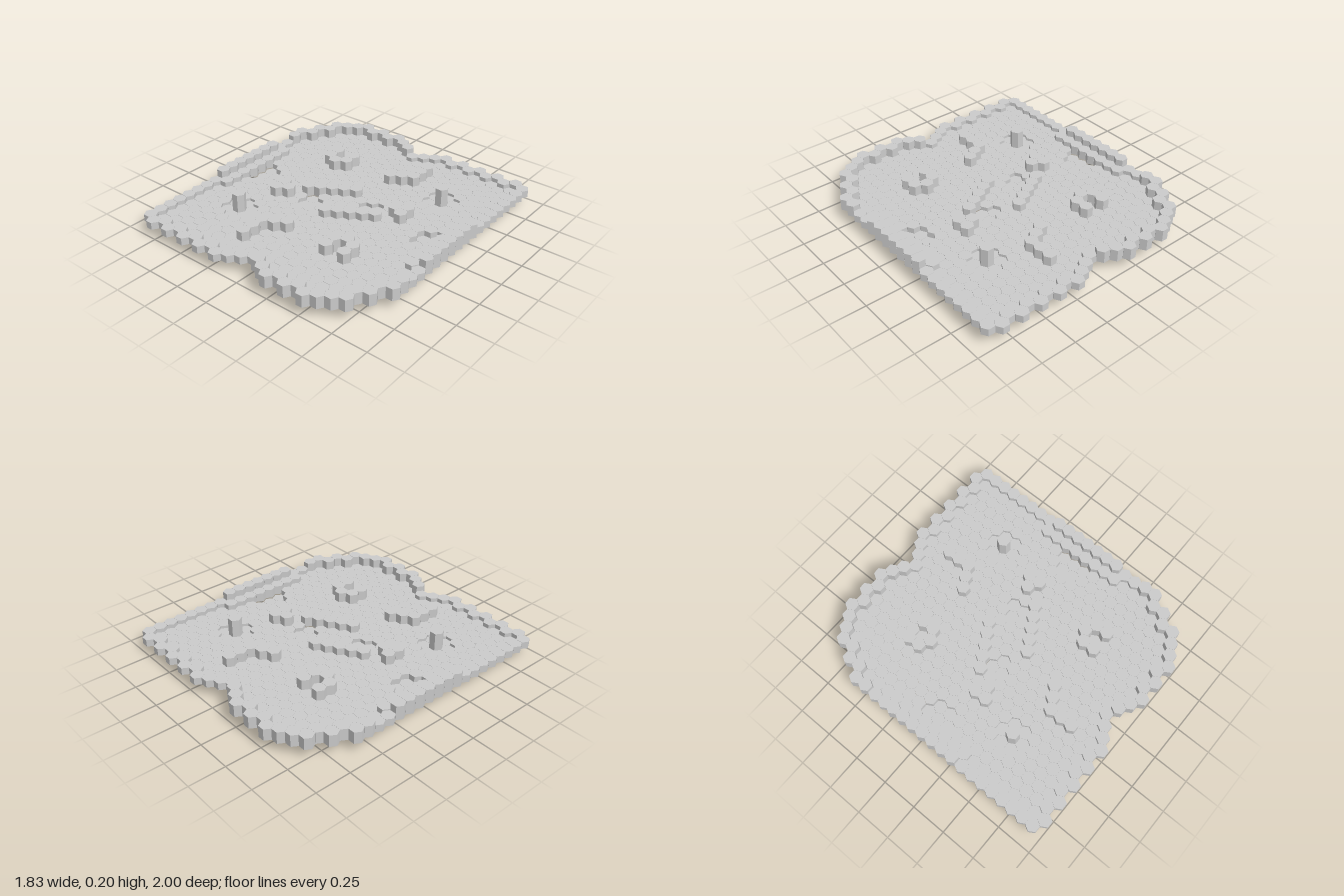
import * as THREE from 'three';
import { mergeGeometries } from 'three/addons/utils/BufferGeometryUtils.js';

const H = 1 / 12;               // hexagon width across flats
const R = H / Math.sqrt(3);     // hexagon corner radius
const DX = R * 1.5;             // column spacing

// Far edge (in tile rows) of columns -12..12; the near edge is its half-turn copy
function farLimit(c) {
  if (c <= -8) return [7.5, 9, 10.5, 11, 11.5][c + 12];
  if (Math.abs(c) <= 2) return 10.5 + Math.abs(c) / 2;
  return c % 2 ? 12 : 11.5;
}
const exists = (c, r) =>
  Math.abs(c) <= 12 && r >= -farLimit(c) + 0.4 && r <= farLimit(-c) - 0.4;

const neighbours = [[0, 1], [0, -1], [1, 0.5], [1, -0.5], [-1, 0.5], [-1, -0.5]];

// Special tiles as [column, row]; every one is repeated by a half turn
const features = [
  { name: 'sunkenSidePatch', bottom: 0, top: 0.052, tiles: [[-9, 0.5], [-9, -0.5], [-10, 0], [-10, 1], [-10, -1]] },
  { name: 'pillarPit', bottom: 0.02, top: 0.072, tiles: neighbours.map(([c, r]) => [-7 + c, 5.5 + r]) },
  { name: 'pillar', bottom: 0.06, top: 0.2, tiles: [[-7, 5.5]] },
  { name: 'horseshoeWall', bottom: 0.07, top: 0.16, tiles: [[5, 4.5], [4, 5], [6, 5], [4, 6], [6, 6]] },
  { name: 'horseshoePit', bottom: 0.02, top: 0.072, tiles: [[5, 5.5]] },
  { name: 'curvedRidge', bottom: 0.07, top: 0.155, tiles: [[1, -5.5], [2, -6], [3, -6.5], [3, -7.5], [3, -8.5]] },
  { name: 'centreRidge', bottom: 0.07, top: 0.14, tiles: [[0, 2], [1, 1.5], [2, 1], [3, 0.5], [4, 0]] },
  { name: 'sunkenCentrePatch', bottom: 0.012, top: 0.064, tiles: [[2, -1], [3, -0.5], [3, -1.5]] },
  { name: 'sideBlock', bottom: 0.07, top: 0.155, tiles: [[-6, 1], [-6, 2], [-5, 1.5]] },
];
const special = new Map();
for (const f of features)
  for (const [c, r] of f.tiles)
    for (const s of [1, -1]) special.set(`${s * c + 0},${s * r + 0}`, f);

// Part name, bottom and top height of one tile
function tileKind(c, r) {
  const f = special.get(`${c},${r}`);
  if (f) return f;
  const a = Math.abs(c);
  const edge = neighbours.some(([dc, dr]) => !exists(c + dc, r + dr));
  if (a === 12 && Math.abs(r) <= 3) return { name: 'sideWall', bottom: 0.07, top: 0.17 };
  // The rim is tall round the two rounded corners and low towards the sharp ones
  if (edge && c * r > 0 && Math.abs(r) >= 6) return { name: 'tallRim', bottom: 0.07, top: 0.153 };
  if (edge) return { name: 'lowRim', bottom: 0.067, top: 0.118 };
  if (a === 11 && Math.abs(r) <= 4) return { name: 'sideTerrace', bottom: 0.06, top: 0.125 };
  return { name: 'floor', bottom: 0.038, top: 0.09 };
}

export function createModel() {
  const group = new THREE.Group();
  group.name = 'hexTileBoard';
  const material = new THREE.MeshStandardMaterial({ color: 0xcccccc, flatShading: true });
  // Tiles are a hair narrower than their cells, leaving fine joints
  const hex = new THREE.CylinderGeometry(R * 0.988, R * 0.988, 1, 6);
  hex.rotateY(Math.PI / 6);

  // Collect the tiles of each part
  const parts = {};
  for (let c = -12; c <= 12; c++) {
    const shift = c % 2 ? 0.5 : 0;
    for (let i = -12; i <= 12; i++) {
      const r = i + shift;
      if (!exists(c, r)) continue;
      const { name, bottom, top } = tileKind(c, r);
      const tile = hex.clone().scale(1, top - bottom, 1);
      (parts[name] ??= []).push(tile.translate(c * DX, (top + bottom) / 2, r * H));
    }
  }

  // One mesh per part
  for (const [name, tiles] of Object.entries(parts)) {
    const mesh = new THREE.Mesh(mergeGeometries(tiles), material);
    mesh.name = name;
    group.add(mesh);
  }
  return group;
}
